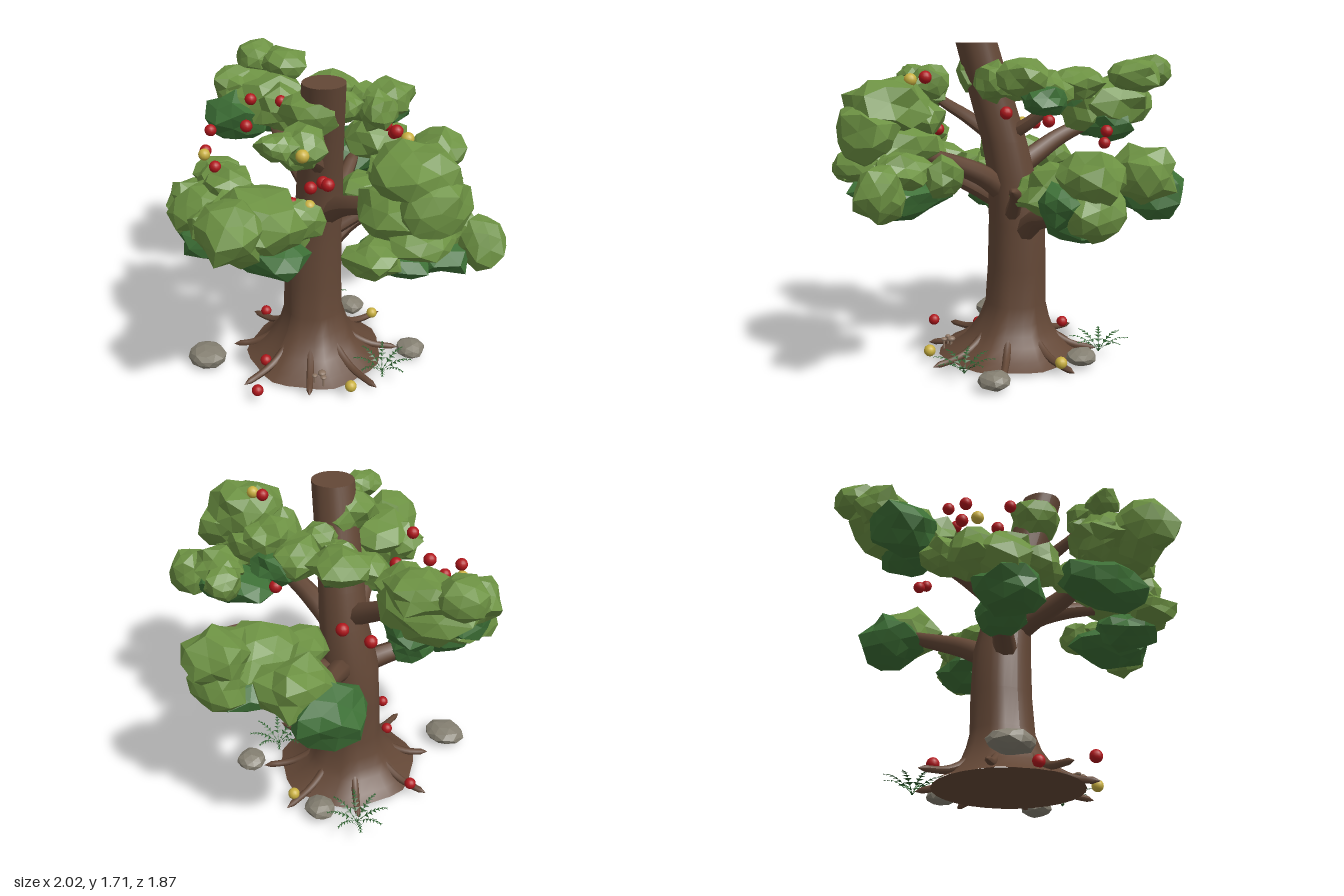
import * as THREE from 'three';

const mat = (name, color) => Object.assign(new THREE.MeshStandardMaterial({ color }), { name });

export function createModel() {
  const tree = new THREE.Group();
  tree.name = 'appleTree';
  const bark = mat('bark', 0x634736);
  const lightLeaf = mat('lightLeaf', 0x6d9243);
  const darkLeaf = mat('darkLeaf', 0x3d7036);
  const red = mat('redApple', 0xb0171c);
  const yellow = mat('yellowApple', 0xc9b040);
  const stone = mat('stone', 0x858072);
  const fernGreen = mat('fernGreen', 0x2f6030);
  const mushroomBrown = mat('mushroomBrown', 0x8a7361);
  fernGreen.side = THREE.DoubleSide;

  const add = (name, geo, material, parent = tree) => {
    const m = new THREE.Mesh(geo, material);
    m.name = name;
    parent.add(m);
    return m;
  };
  const group = (name) => {
    const g = new THREE.Group();
    g.name = name;
    tree.add(g);
    return g;
  };

  // Trunk: rings of [y, centre x, centre z, radius], flared at the foot
  const rings = [
    [0.015, -0.07, 0, 0.385], [0.045, -0.075, 0, 0.33], [0.1, -0.09, 0, 0.262], [0.15, -0.09, -0.005, 0.225],
    [0.21, -0.095, -0.015, 0.194], [0.3, -0.1, -0.02, 0.166], [0.5, -0.105, -0.025, 0.16],
    [0.75, -0.1, -0.03, 0.153], [1.0, -0.06, -0.035, 0.127], [1.2, -0.025, -0.01, 0.12],
    [1.45, 0.035, 0.03, 0.114], [1.71, 0.095, 0.07, 0.109],
  ];
  const sides = 28;
  const ripple = (a, y) => 1 + 0.03 * Math.sin(a * 7) * (y < 0.5 ? 1 : 0.4);
  const trunk = new THREE.CylinderGeometry(1, 1, 1, sides, rings.length - 1, true);
  const tp = trunk.attributes.position;
  for (let i = 0; i < tp.count; i++) {
    const row = Math.floor(i / (sides + 1));
    const [y, cx, cz, r] = rings[rings.length - 1 - row];
    const a = ((i % (sides + 1)) / sides) * Math.PI * 2;
    const rr = r * ripple(a, y);
    tp.setXYZ(i, cx + rr * Math.sin(a), y, cz + rr * Math.cos(a));
  }
  trunk.computeVertexNormals();
  add('trunk', trunk, bark);
  const cut = add('trunkTop', new THREE.CircleGeometry(0.109, sides), bark);
  cut.rotation.x = -Math.PI / 2;
  cut.position.set(0.095, 1.709, 0.07);
  const base = add('trunkUnderside', new THREE.CircleGeometry(0.385, sides), bark);
  base.rotation.x = Math.PI / 2;
  base.position.set(-0.07, 0.014, 0);

  // Tapered limb along a curve, closed to a point at its tip
  function limb(name, pts, r0, r1, parent) {
    const curve = new THREE.CatmullRomCurve3(pts.map((p) => new THREE.Vector3(...p)));
    const n = 12, k = 8;
    const geo = new THREE.TubeGeometry(curve, n, 1, k);
    const p = geo.attributes.position, v = new THREE.Vector3();
    for (let i = 0; i < p.count; i++) {
      const row = Math.floor(i / (k + 1));
      const c = curve.getPointAt(row / n);
      const r = row === n ? 0.001 : r0 + (r1 - r0) * (row / n);
      v.fromBufferAttribute(p, i).sub(c).multiplyScalar(r).add(c);
      p.setXYZ(i, v.x, v.y, v.z);
    }
    geo.computeVertexNormals();
    add(name, geo, bark, parent);
  }

  // Roots: [angle, reach]
  const roots = group('roots');
  [[0, 0.54], [0.75, 0.47], [1.5, 0.53], [2.3, 0.46], [3.05, 0.5], [3.95, 0.47], [4.75, 0.53], [5.5, 0.5]].forEach(([a, reach]) => {
    const at = (r, y) => [-0.09 + r * Math.cos(a), y, r * Math.sin(a)];
    limb('root', [at(0.12, 0.25), at(0.2, 0.135), at(0.33, 0.055), at(reach, 0.032)], 0.028, 0.016, roots);
  });

  // Branches
  const branches = group('branches');
  [
    [[-0.1, 0.7, 0.02], [-0.2, 0.75, 0.15], [-0.32, 0.8, 0.3], [-0.45, 0.92, 0.42]],
    [[-0.06, 1.02, -0.02], [-0.22, 1.11, -0.04], [-0.38, 1.2, -0.07], [-0.62, 1.3, -0.15]],
    [[-0.06, 0.85, 0], [-0.01, 0.91, 0.14], [0.07, 0.98, 0.3], [0.16, 1.12, 0.6]],
    [[-0.08, 0.68, -0.08], [-0.04, 0.8, -0.25], [0.02, 0.85, -0.42], [0.08, 0.93, -0.7]],
    [[-0.1, 0.74, -0.1], [-0.2, 0.85, -0.27], [-0.28, 0.92, -0.42], [-0.38, 1.0, -0.6]],
    [[-0.04, 0.9, -0.02], [0.12, 1.02, -0.02], [0.3, 1.1, 0], [0.6, 1.2, 0]],
    [[-0.04, 0.78, -0.05], [0.09, 0.91, -0.24], [0.19, 0.98, -0.36], [0.33, 1.03, -0.5]],
    [[0, 1.2, 0], [-0.08, 1.3, -0.15], [-0.17, 1.42, -0.27], [-0.25, 1.48, -0.32]],
    [[0, 1.2, 0], [0.1, 1.32, 0.15], [0.17, 1.4, 0.28], [0.22, 1.48, 0.38]],
  ].forEach((pts, i) => limb('branch', pts, i < 6 ? 0.066 : 0.045, i < 6 ? 0.035 : 0.022, branches));

  // Faceted lump: an icosphere with each corner moved by a seeded amount
  let seed = 1;
  function lump(name, [x, y, z, rx, ry, rz], material, parent, rough = 0.38) {
    seed += 1;
    const geo = new THREE.IcosahedronGeometry(1, 1);
    geo.rotateY(seed * 1.7).rotateX(seed * 0.9);
    const p = geo.attributes.position;
    for (let i = 0; i < p.count; i++) {
      const [a, b, c] = [p.getX(i), p.getY(i), p.getZ(i)].map((t) => Math.round(t * 100));
      const h = Math.sin(a * 12.99 + b * 78.23 + c * 37.72 + seed * 9.1) * 4375.85;
      const s = 1.13 - rough * (h - Math.floor(h));
      p.setXYZ(i, p.getX(i) * s * rx, p.getY(i) * s * ry, p.getZ(i) * s * rz);
    }
    geo.computeVertexNormals();
    add(name, geo, material, parent).position.set(x, y, z);
  }

  // Foliage clusters: lumps of [x, y, z, rx, ry, rz]
  const clusters = {
    frontFoliage: {
      light: [[0.19, 1.19, 0.59, 0.26, 0.15, 0.23], [0.24, 1.2, 0.76, 0.18, 0.17, 0.18], [0.14, 1.06, 0.4, 0.17, 0.13, 0.17],
        [0.06, 1.17, 0.62, 0.13, 0.12, 0.14], [0.24, 1.13, 0.38, 0.14, 0.11, 0.14]],
      dark: [[0.17, 0.99, 0.52, 0.26, 0.12, 0.17]],
    },
    frontLeftFoliage: {
      light: [[-0.39, 0.96, 0.46, 0.23, 0.16, 0.2], [-0.6, 1.05, 0.24, 0.13, 0.1, 0.13], [-0.32, 1.11, 0.36, 0.16, 0.1, 0.14],
        [-0.55, 0.97, 0.45, 0.14, 0.12, 0.14], [-0.25, 0.96, 0.55, 0.13, 0.11, 0.13], [-0.46, 1.07, 0.3, 0.14, 0.1, 0.14]],
      dark: [[-0.36, 0.83, 0.48, 0.19, 0.12, 0.18], [-0.28, 0.8, 0.28, 0.14, 0.11, 0.14]],
    },
    leftFoliage: {
      light: [[-0.69, 1.38, -0.17, 0.25, 0.15, 0.24], [-0.87, 1.54, -0.26, 0.14, 0.1, 0.13], [-0.7, 1.53, -0.32, 0.18, 0.1, 0.15],
        [-0.5, 1.36, -0.12, 0.15, 0.14, 0.16], [-0.83, 1.42, -0.06, 0.14, 0.12, 0.14]],
      dark: [[-0.72, 1.29, 0, 0.2, 0.14, 0.16], [-0.6, 1.28, -0.2, 0.16, 0.12, 0.17]],
    },
    backFoliage: {
      light: [[0.05, 1.01, -0.56, 0.23, 0.14, 0.24], [0.1, 1.1, -0.77, 0.18, 0.14, 0.18], [-0.33, 1.08, -0.72, 0.18, 0.15, 0.19],
        [0.1, 0.95, -0.79, 0.17, 0.15, 0.16], [0, 0.97, -0.36, 0.17, 0.1, 0.18]],
      dark: [[-0.47, 0.97, -0.65, 0.18, 0.15, 0.2], [0.04, 0.89, -0.64, 0.2, 0.12, 0.21], [0.2, 0.98, -0.7, 0.1, 0.12, 0.14]],
    },
    rightFoliage: {
      light: [[0.67, 1.42, 0.03, 0.22, 0.16, 0.2], [0.62, 1.21, 0.05, 0.25, 0.14, 0.21], [0.89, 1.05, -0.23, 0.12, 0.14, 0.13],
        [0.68, 1.08, 0.3, 0.15, 0.08, 0.13], [0.57, 1.1, -0.28, 0.1, 0.1, 0.12], [0.79, 1.29, 0.02, 0.15, 0.16, 0.2],
        [0.5, 1.36, 0, 0.12, 0.12, 0.14], [0.76, 1.14, 0.06, 0.18, 0.1, 0.2], [0.72, 1.12, -0.16, 0.16, 0.1, 0.14]],
      dark: [[0.69, 0.99, -0.1, 0.25, 0.11, 0.19], [0.64, 1.0, 0.12, 0.21, 0.1, 0.16]],
    },
    upperBackFoliage: {
      light: [[-0.26, 1.5, -0.31, 0.15, 0.1, 0.15], [-0.02, 1.48, -0.33, 0.14, 0.1, 0.15], [0.14, 1.55, -0.34, 0.13, 0.1, 0.14],
        [0.0, 1.5, -0.16, 0.1, 0.09, 0.1], [-0.14, 1.47, -0.18, 0.1, 0.08, 0.1], [0.2, 1.52, -0.2, 0.09, 0.11, 0.11]],
      dark: [[0.05, 1.44, -0.4, 0.14, 0.08, 0.11], [-0.2, 1.45, -0.28, 0.1, 0.07, 0.11]],
    },
    upperFrontFoliage: {
      light: [[0.03, 1.55, 0.1, 0.15, 0.12, 0.15], [0.23, 1.5, 0.32, 0.12, 0.1, 0.12], [0.22, 1.53, 0.47, 0.1, 0.07, 0.1],
        [0.2, 1.44, 0.33, 0.1, 0.08, 0.09]],
      dark: [],
    },
  };
  for (const [name, { light, dark }] of Object.entries(clusters)) {
    const g = group(name);
    light.forEach((l) => lump('leafClump', l, lightLeaf, g));
    dark.forEach((l) => lump('shadedLeafClump', l, darkLeaf, g));
  }

  // Apples on the tree and on the ground
  const apples = group('apples');
  const ball = new THREE.SphereGeometry(0.032, 14, 10);
  const fruit = (name, m, list) => list.forEach((p) => add(name, ball, m, apples).position.set(...p));
  fruit('redApple', red, [
    [0.49, 1.55, -0.03], [-0.53, 1.34, 0.32], [-0.56, 1.22, 0.34], [-0.39, 1.2, 0.4], [-0.25, 1.44, 0.29],
    [0.21, 1.25, 0.26], [0.3, 1.31, 0.26], [0.38, 1.34, 0.3], [0.22, 1.21, 0.385], [0.21, 1.38, -0.31],
    [-0.37, 1.26, -0.43], [-0.46, 1.18, -0.33], [0.04, 1.34, -0.43], [-0.5, 1.46, 0.07], [-0.39, 1.45, -0.05],
    [-0.11, 0.07, 0.33], [0.07, 0.07, 0.53], [-0.5, 0.07, 0.02],
  ]);
  fruit('yellowApple', yellow, [
    [0.57, 1.54, -0.02], [-0.5, 1.23, 0.39], [0.28, 1.2, 0.33], [0.33, 1.5, 0.41], [0.38, 0.07, 0.13], [-0.05, 0.07, -0.45],
  ]);

  // Stones
  const stones = group('stones');
  [[-0.39, 0.055, 0.54, 0.11, 0.05, 0.1], [0.34, 0.055, -0.38, 0.08, 0.045, 0.08], [-0.22, 0.055, -0.43, 0.08, 0.045, 0.075]]
    .forEach((s) => lump('stone', s, stone, stones, 0.18));

  // Mushrooms beside the trunk
  const mushrooms = group('mushrooms');
  [[0.2, 0.18, 1], [0.235, 0.2, 0.75], [0.19, 0.225, 0.65]].forEach(([x, z, s]) => {
    add('mushroomStem', new THREE.CylinderGeometry(0.007 * s, 0.009 * s, 0.06, 8), mushroomBrown, mushrooms).position.set(x, 0.05, z);
    const cap = new THREE.SphereGeometry(0.024 * s, 10, 6);
    cap.scale(1, 0.6, 1);
    add('mushroomCap', cap, mushroomBrown, mushrooms).position.set(x, 0.08, z);
  });

  // Ferns: arching fronds with paired leaflets
  function fern(x, z) {
    const pos = [];
    const fronds = 8, steps = 8, len = 0.165;
    for (let f = 0; f < fronds; f++) {
      const a = (f / fronds) * Math.PI * 2, dx = Math.cos(a), dz = Math.sin(a);
      const at = (t, w = 0) => [dx * t * len - dz * w, 0.02 + 0.085 * Math.sin(Math.min(t * 1.9, 1.75)) - Math.abs(w) * 0.3, dz * t * len + dx * w];
      for (let i = 0; i < steps; i++) {
        const t = i / steps, u = (i + 1) / steps;
        pos.push(...at(t, 0.005), ...at(u, 0), ...at(t, -0.005));
        if (i < 2) continue;
        const w = 0.03 * (1.15 - t);
        for (const s of [-1, 1]) pos.push(...at(t), ...at(t + 0.085), ...at(u, s * w));
      }
    }
    const geo = new THREE.BufferGeometry();
    geo.setAttribute('position', new THREE.Float32BufferAttribute(pos, 3));
    geo.computeVertexNormals();
    add('fern', geo, fernGreen).position.set(x, 0, z);
  }
  fern(0.35, -0.14);
  fern(-0.42, -0.36);

  return tree;
}
